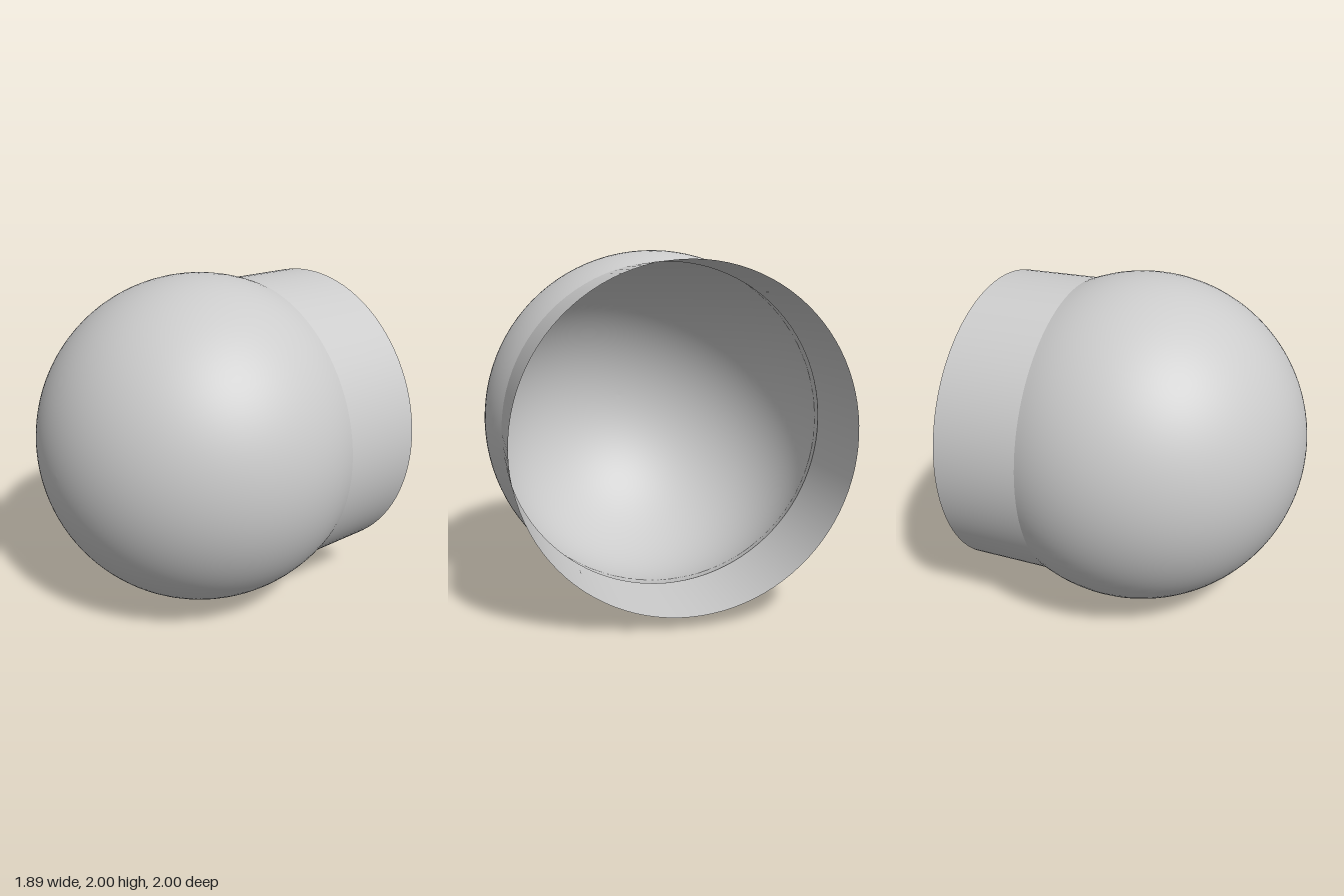
import * as THREE from 'three';

const SEGMENTS = 96;
const CENTER_X = 0.055; // middle of the ball
const COLLAR_RADIUS = 0.926;
const COLLAR_END = 0.945;

export function createModel() {
  const group = new THREE.Group();
  const material = new THREE.MeshStandardMaterial({ color: 0xcccccc, side: THREE.DoubleSide });

  // Turns a profile about the x axis; profile points are (radius, x from ball centre)
  const addTurned = (name, points) => {
    const geometry = new THREE.LatheGeometry(points, SEGMENTS);
    geometry.rotateZ(-Math.PI / 2);
    geometry.translate(CENTER_X, 1, 0);
    const mesh = new THREE.Mesh(geometry, material);
    mesh.name = name;
    group.add(mesh);
  };

  // Hollow ball, open where the collar joins
  const openAngle = Math.PI - Math.asin(COLLAR_RADIUS);
  const joinX = -Math.cos(openAngle);
  const rings = 48;
  const arc = [];
  for (let i = 0; i <= rings; i++) {
    const a = (openAngle * i) / rings;
    arc.push(new THREE.Vector2(Math.sin(a), -Math.cos(a)));
  }
  addTurned('hollowBall', arc);

  // Thin straight collar with an open end
  addTurned('collar', [
    new THREE.Vector2(COLLAR_RADIUS, joinX),
    new THREE.Vector2(COLLAR_RADIUS, COLLAR_END - CENTER_X),
  ]);

  return group;
}
